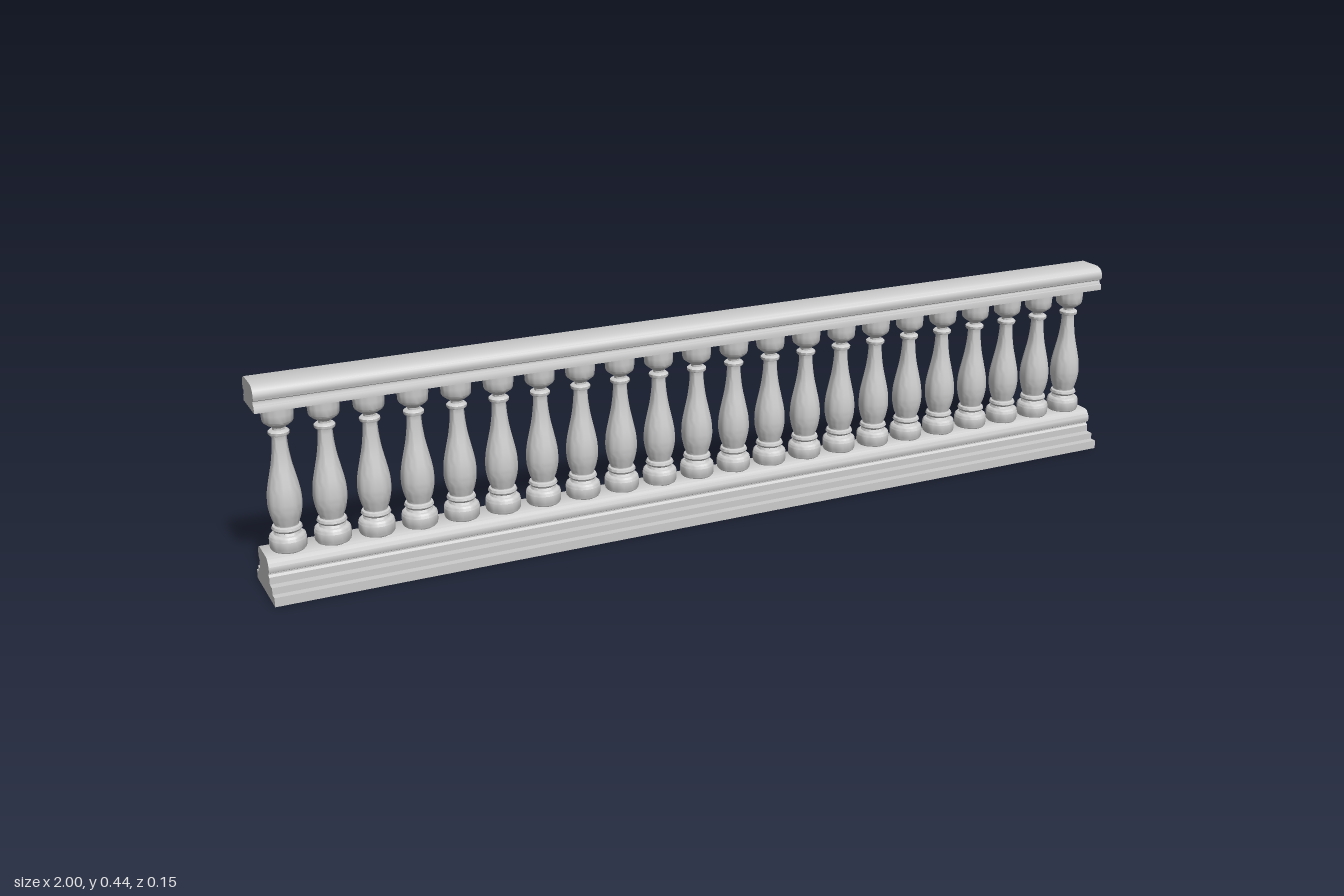
import * as THREE from 'three';
import { toCreasedNormals } from 'three/addons/utils/BufferGeometryUtils.js';

const material = new THREE.MeshStandardMaterial({ color: 0xcccccc });
const CREASE = 0.7;

// Moulding with a mirrored half profile [halfWidth, y], running along x
function moulding(name, half, x0, x1) {
  const right = half.map(([w, y]) => new THREE.Vector2(w, y));
  const left = half.map(([w, y]) => new THREE.Vector2(-w, y)).reverse();
  const geometry = new THREE.ExtrudeGeometry(new THREE.Shape([...right, ...left]), {
    depth: x1 - x0, bevelEnabled: false,
  });
  geometry.rotateY(Math.PI / 2).translate(x0, 0, 0);
  const mesh = new THREE.Mesh(toCreasedNormals(geometry, CREASE), material);
  mesh.name = name;
  return mesh;
}

// Turned baluster profile [radius, y], from foot to capital
function balusterGeometry() {
  const belly = new THREE.SplineCurve([
    [0.024, 0.141], [0.029, 0.154], [0.0325, 0.17], [0.034, 0.185], [0.0325, 0.21],
    [0.0265, 0.24], [0.02, 0.27], [0.016, 0.3], [0.0145, 0.326],
  ].map(p => new THREE.Vector2(...p))).getPoints(18);
  const foot = [
    [0, 0.087], [0.033, 0.087], [0.036, 0.091], [0.037, 0.096], [0.037, 0.111],
    [0.0355, 0.117], [0.032, 0.12], [0.027, 0.121], [0.0245, 0.126],
    [0.028, 0.128], [0.0305, 0.132], [0.0285, 0.137], [0.024, 0.139],
  ];
  const capital = [
    [0.019, 0.327], [0.021, 0.33], [0.021, 0.334], [0.018, 0.337], [0.012, 0.338],
    [0.012, 0.342], [0.016, 0.345], [0.021, 0.348], [0.0285, 0.354], [0.0305, 0.358],
    [0.0315, 0.372], [0.032, 0.391], [0, 0.391],
  ];
  const vec = p => new THREE.Vector2(...p);
  const points = [...foot.map(vec), ...belly, ...capital.map(vec)];
  return toCreasedNormals(new THREE.LatheGeometry(points, 28), CREASE);
}

export function createModel() {
  const group = new THREE.Group();
  group.name = 'balustrade';

  // Stepped base
  group.add(moulding('base', [
    [0.077, 0], [0.077, 0.0195], [0.061, 0.0195], [0.061, 0.034], [0.043, 0.034],
    [0.043, 0.049], [0.038, 0.053], [0.038, 0.056], [0.044, 0.059], [0.0455, 0.064],
    [0.0455, 0.071], [0.043, 0.078], [0.037, 0.085], [0.031, 0.088],
  ], -1, 0.992));

  // Handrail
  group.add(moulding('handrail', [
    [0.0455, 0.39], [0.0455, 0.403], [0.041, 0.404], [0.038, 0.409], [0.038, 0.412],
    [0.044, 0.415], [0.046, 0.42], [0.046, 0.428], [0.043, 0.435], [0.037, 0.441],
    [0.028, 0.4445],
  ], -1, 1));

  // Row of balusters
  const geometry = balusterGeometry();
  const count = 22;
  for (let i = 0; i < count; i++) {
    const baluster = new THREE.Mesh(geometry, material);
    baluster.name = `baluster${i + 1}`;
    baluster.position.x = THREE.MathUtils.lerp(-0.948, 0.944, i / (count - 1));
    group.add(baluster);
  }
  return group;
}
